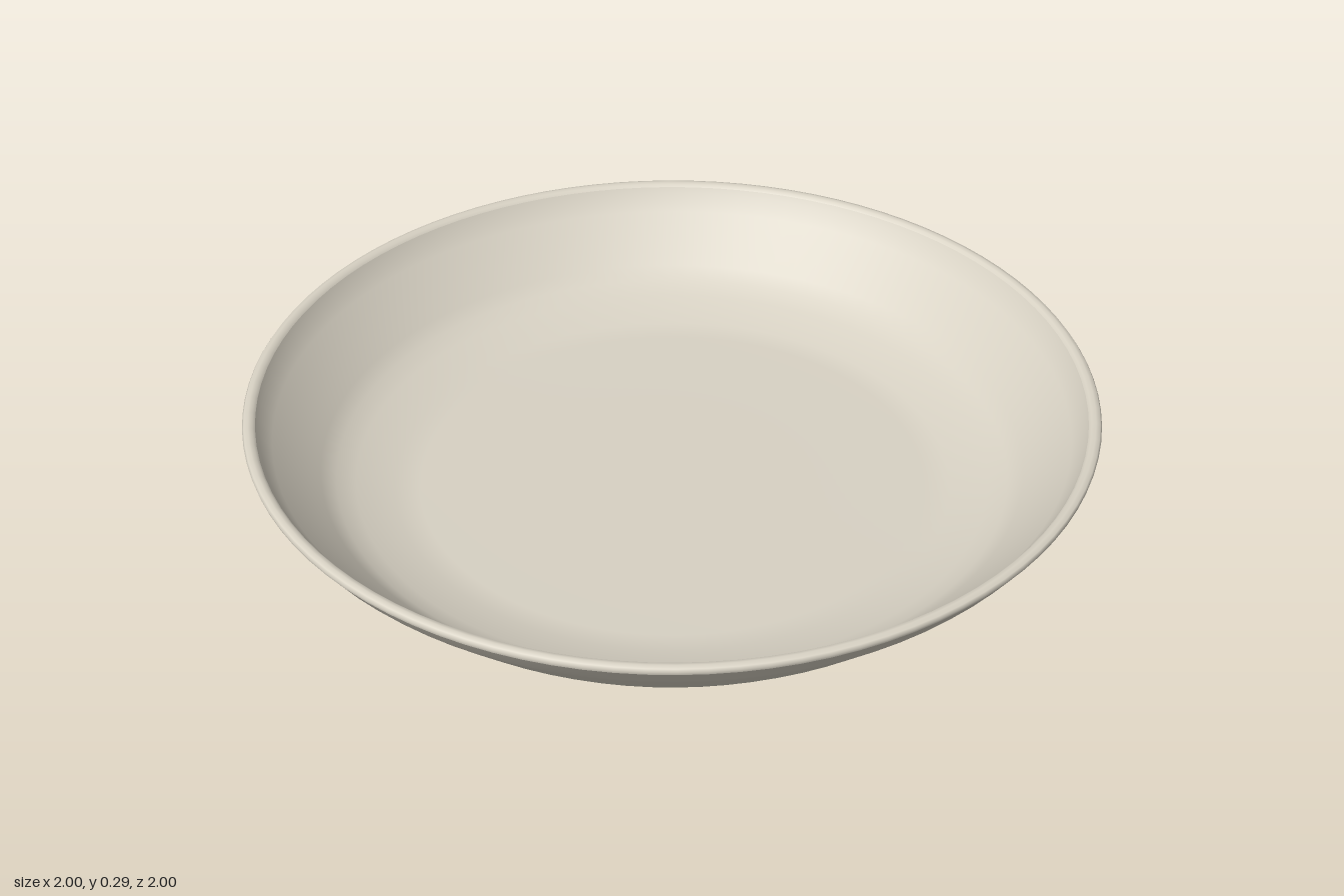
import * as THREE from 'three';

export function createModel() {
  const group = new THREE.Group();
  group.name = 'shallowDish';
  const material = new THREE.MeshStandardMaterial({ color: 0xd8d2c4 });

  // Turn a list of [radius, height] pairs around the vertical axis
  const turn = (name, profile) => {
    const points = profile.map(([r, y]) => new THREE.Vector2(r, y));
    const mesh = new THREE.Mesh(new THREE.LatheGeometry(points, 96), material);
    mesh.name = name;
    group.add(mesh);
  };

  // Underside: recessed base inside the foot ring
  turn('recessedBase', [[0, 0.03], [0.3, 0.03], [0.53, 0.03], [0.545, 0.02], [0.555, 0.006], [0.57, 0]]);

  // Foot ring and flared outer wall up to the rim
  turn('outerWall', [
    [0.57, 0], [0.63, 0], [0.65, 0.004], [0.69, 0.028], [0.78, 0.066],
    [0.82, 0.085], [0.845, 0.107], [0.95, 0.208], [0.965, 0.225], [0.998, 0.27],
  ]);

  // Thin rounded lip
  turn('rim', [[0.998, 0.27], [1, 0.278], [0.996, 0.284], [0.986, 0.287], [0.976, 0.285], [0.97, 0.279]]);

  // Inner wall curving down to the gently dished floor
  turn('innerWallAndFloor', [
    [0.97, 0.279], [0.962, 0.265], [0.935, 0.225], [0.83, 0.125], [0.795, 0.1],
    [0.75, 0.081], [0.66, 0.055], [0.6, 0.05], [0.3, 0.05], [0, 0.05],
  ]);

  return group;
}
